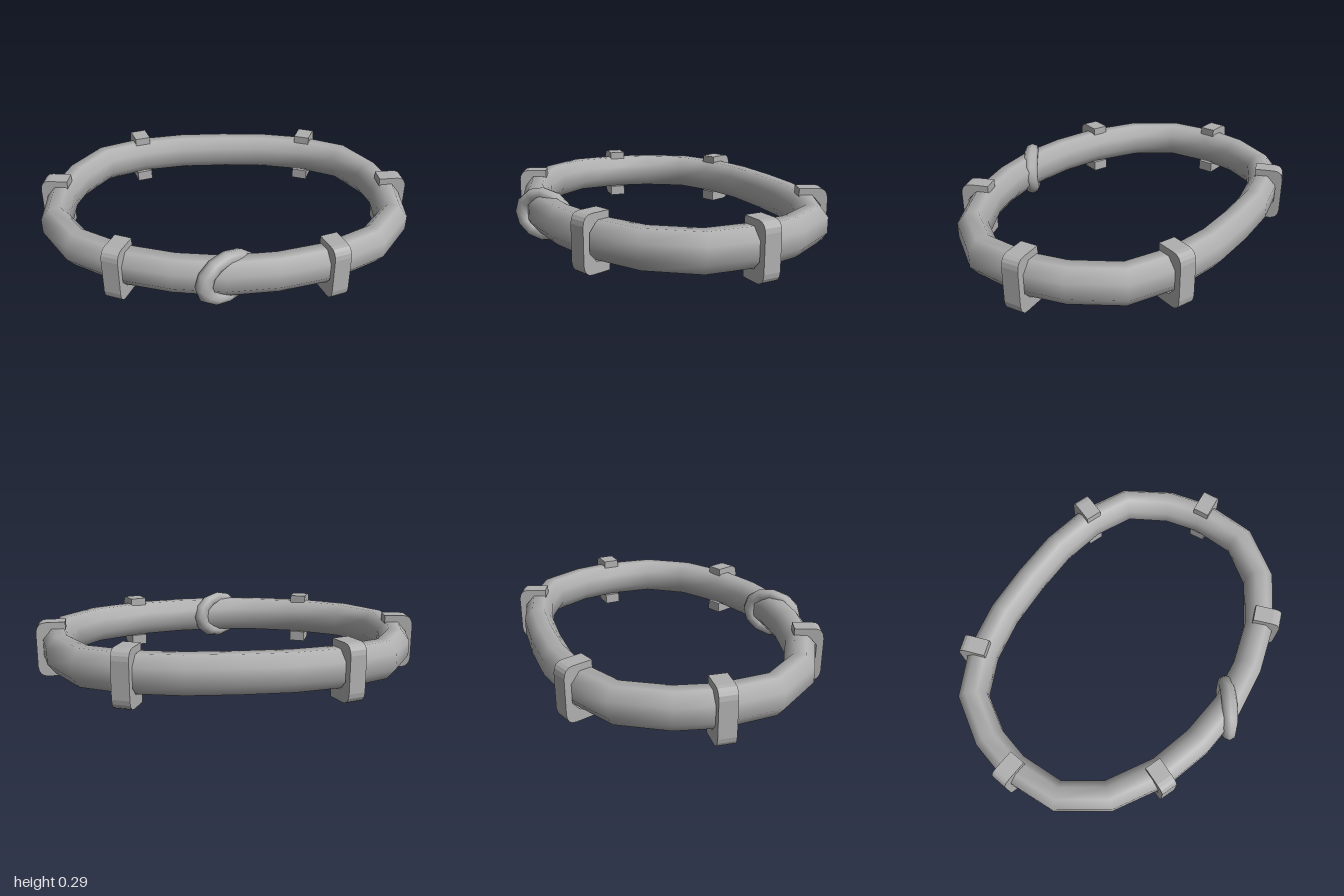
import * as THREE from 'three';

const bandMat = new THREE.MeshStandardMaterial({ name: 'grey', color: 0xb0b0b0 });

// Half of the band's centre line (x, z), from the back middle to the front middle
const half = [[0, -0.674], [0.25, -0.665], [0.495, -0.615], [0.715, -0.505], [0.845, -0.29],
  [0.895, -0.09], [0.883, 0.17], [0.735, 0.385], [0.485, 0.535], [0.245, 0.605], [0, 0.632]];

// Closed horizontal sweep of an eight-sided oval section
function bandGeometry(path, rx, ry, y) {
  const n = path.length, sides = 8, pos = [], idx = [];
  const k = 1 / Math.cos(Math.PI / sides);
  for (let i = 0; i < n; i++) {
    const [x, z] = path[i], p = path[(i + n - 1) % n], q = path[(i + 1) % n];
    const t = new THREE.Vector2(q[0] - p[0], q[1] - p[1]).normalize();
    for (let j = 0; j < sides; j++) {
      const a = (j + 0.5) / sides * Math.PI * 2;
      const r = rx * k * Math.cos(a);
      pos.push(x + t.y * r, y + ry * k * Math.sin(a), z - t.x * r);
      const a0 = i * sides + j, b0 = i * sides + (j + 1) % sides;
      const c0 = ((i + 1) % n) * sides + j, d0 = ((i + 1) % n) * sides + (j + 1) % sides;
      idx.push(a0, b0, c0, c0, b0, d0);
    }
  }
  const g = new THREE.BufferGeometry();
  g.setAttribute('position', new THREE.Float32BufferAttribute(pos, 3));
  g.setIndex(idx);
  g.computeVertexNormals();
  return g;
}

// C-shaped clip, open towards the inside of the band
function clipGeometry() {
  const s = new THREE.Shape();
  s.moveTo(-0.045, 0.1425);
  s.lineTo(-0.045, 0.1);
  s.lineTo(0.03, 0.1);
  s.lineTo(0.07, 0.055);
  s.lineTo(0.07, -0.04);
  s.lineTo(0.03, -0.085);
  s.lineTo(-0.045, -0.085);
  s.lineTo(-0.045, -0.1425);
  s.lineTo(0.055, -0.1425);
  s.quadraticCurveTo(0.1, -0.1425, 0.104, -0.09);
  s.lineTo(0.104, 0.09);
  s.quadraticCurveTo(0.1, 0.1425, 0.055, 0.1425);
  s.closePath();
  const w = 0.088;
  return new THREE.ExtrudeGeometry(s, { depth: w, bevelEnabled: false, curveSegments: 4 })
    .translate(0, 0, -w / 2);
}

export function createModel() {
  const group = new THREE.Group();
  group.name = 'bracelet';

  // Band
  const mirrored = half.slice(1, -1).reverse().map(([x, z]) => [-x, z]);
  const band = new THREE.Mesh(bandGeometry([...half, ...mirrored], 0.075, 0.095, 0.155), bandMat);
  band.name = 'band';
  group.add(band);

  // Clips: x, z and outward direction, mirrored left and right
  const clip = clipGeometry();
  const spots = [['backClip', 0.5, -0.615, 0.34, -0.94], ['sideClip', 0.893, -0.09, 0.995, -0.09],
    ['frontClip', 0.507, 0.527, 0.36, 0.93]];
  for (const [name, x, z, nx, nz] of spots) {
    for (const side of [1, -1]) {
      const m = new THREE.Mesh(clip, bandMat);
      m.name = (side > 0 ? 'left_' : 'right_') + name;
      m.position.set(side * x, 0.1425, z);
      m.rotation.y = Math.atan2(-nz, side * nx);
      group.add(m);
    }
  }

  // Slanted oval ring wrapped around the front of the band
  const ring = new THREE.Mesh(
    new THREE.TorusGeometry(0.105, 0.035, 8, 12).scale(1.27, 1, 1.15), bandMat);
  ring.name = 'frontRing';
  ring.position.set(0, 0.15, 0.633);
  ring.rotation.y = 0.64;
  group.add(ring);

  return group;
}
